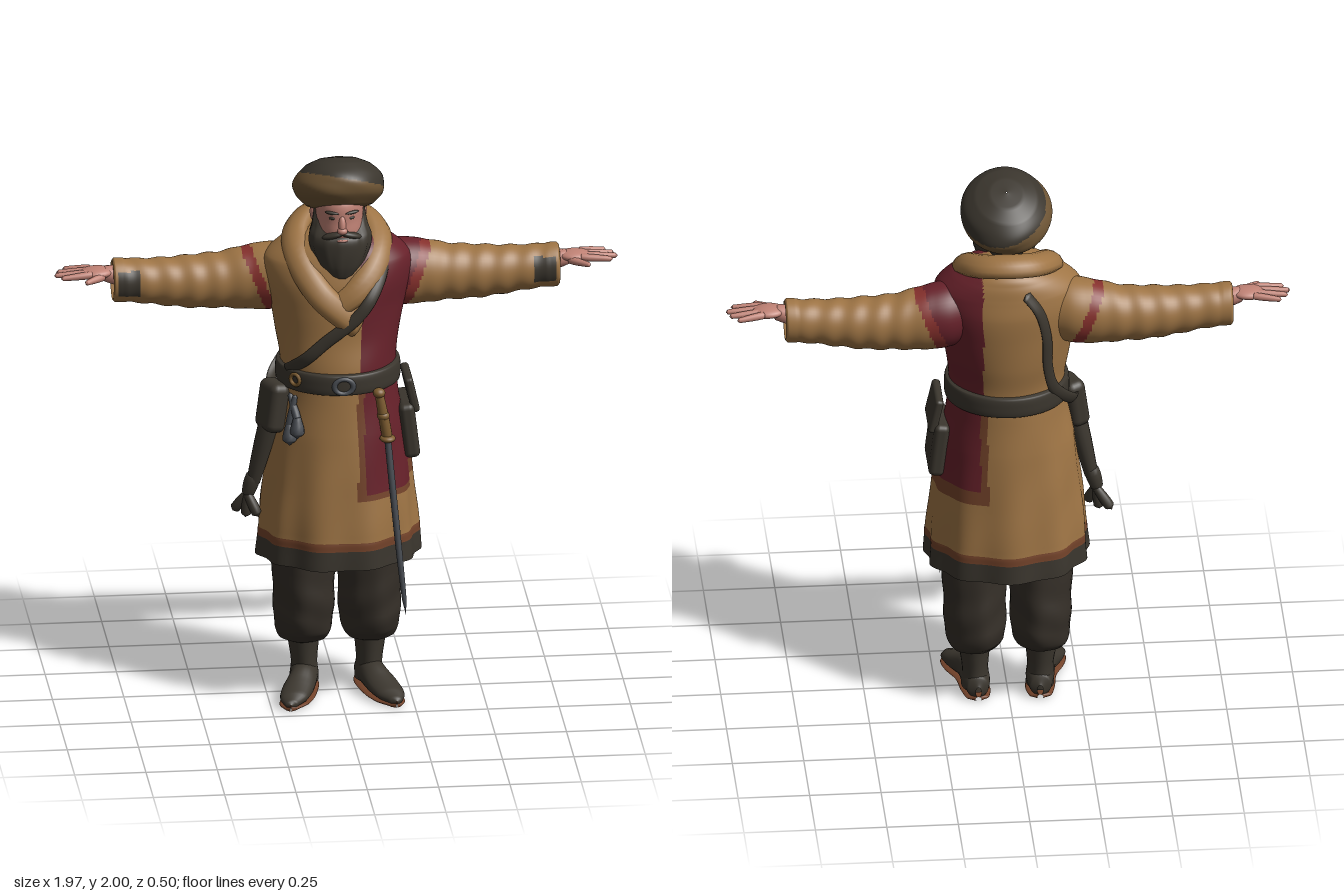
import * as THREE from 'three';
import { RoundedBoxGeometry } from 'three/addons/geometries/RoundedBoxGeometry.js';

const mat = (name, color) => new THREE.MeshStandardMaterial({ name, color });
const tan = mat('tan wool', 0x9f7545), maroon = mat('maroon wool', 0x67212a), red = mat('red trim', 0x86302c);
const rust = mat('rust border', 0x74432a), dark = mat('charcoal cloth', 0x3b362e), pants = mat('dark trousers', 0x352f28);
const hatBrown = mat('hat brown', 0x6d5434), skin = mat('skin', 0xc08275), steel = mat('steel', 0x484c52), brass = mat('brass', 0x7d5c30);
const V = (x, y, z) => new THREE.Vector3(x, y, z);

// Closed-ring surface from at(u, angle); paint(centre) picks the material group
function surface(nu, nv, at, paint = () => 0) {
  const pos = [], groups = [], pts = [];
  for (let i = 0; i <= nu; i++) for (let j = 0; j < nv; j++) {
    const p = at(i / nu, j / nv * Math.PI * 2);
    pts.push(p); pos.push(p.x, p.y, p.z);
  }
  for (let i = 0; i < nu; i++) for (let j = 0; j < nv; j++) {
    const k = (j + 1) % nv, a = i * nv + j, b = a + nv, c = i * nv + k, d = c + nv;
    const mid = V(0, 0, 0).add(pts[a]).add(pts[b]).add(pts[c]).add(pts[d]).multiplyScalar(0.25);
    (groups[paint(mid)] ??= []).push(a, b, c, b, d, c);
  }
  const g = new THREE.BufferGeometry(), index = [];
  groups.forEach((list, m) => { g.addGroup(index.length, list.length, m); for (const v of list) index.push(v); });
  g.setAttribute('position', new THREE.Float32BufferAttribute(pos, 3));
  g.setIndex(index);
  g.computeVertexNormals();
  return g;
}

// Section rows are [y, rx, rz, cx, cz]; y runs linearly, the rest smoothly
function section(rows, t) {
  const s = Math.min(t * (rows.length - 1), rows.length - 1 - 1e-6), i = Math.floor(s), f = s - i;
  const r = k => rows[Math.max(0, Math.min(rows.length - 1, k))];
  return [0, 1, 2, 3, 4].map(k => {
    const p = r(i)[k] ?? 0, q = r(i + 1)[k] ?? 0;
    if (k === 0) return p + (q - p) * f;
    const m = (q - (r(i - 1)[k] ?? 0)) / 2, n = ((r(i + 2)[k] ?? 0) - p) / 2;
    return p + m * f + (3 * (q - p) - 2 * m - n) * f * f + (2 * (p - q) + m + n) * f * f * f;
  });
}
function loft(rows, { n = 32, steps = 6, ripple = () => 0, paint } = {}) {
  return surface((rows.length - 1) * steps, n, (t, a) => {
    const [y, rx, rz, cx, cz] = section(rows, t), k = 1 + ripple(a, y);
    return V(cx + rx * k * Math.cos(a), y, cz + rz * k * Math.sin(a));
  }, paint);
}
// Flattened strip swept along points, facing away from the chest centre
function strip(points, w, t) {
  const curve = new THREE.CatmullRomCurve3(points);
  return surface(64, 12, (u, a) => {
    const p = curve.getPoint(u), T = curve.getTangent(u), N = p.clone().sub(V(0, 1.35, -0.02));
    N.addScaledVector(T, -N.dot(T)).normalize();
    const B = T.clone().cross(N), e = u < 0.001 || u > 0.999 ? 0.02 : 1;
    return p.addScaledVector(N, t * e * Math.cos(a)).addScaledVector(B, -w * e * Math.sin(a));
  });
}

export function createModel() {
  const model = new THREE.Group();
  model.name = 'robedMan';
  const add = (name, geo, m, pos = [0, 0, 0], rot = [0, 0, 0], scale = [1, 1, 1]) => {
    const o = new THREE.Mesh(geo, m);
    o.name = name;
    o.position.set(...pos); o.rotation.set(...rot); o.scale.set(...scale);
    model.add(o);
    return o;
  };
  const mirror = (o, m = o.material) => {
    o.updateMatrix();
    const g = o.geometry.clone().applyMatrix4(o.matrix).scale(-1, 1, 1), ix = g.index;
    for (let i = 0; i < ix.count; i += 3) { const t = ix.getX(i); ix.setX(i, ix.getX(i + 1)); ix.setX(i + 1, t); }
    return add(o.name.replace('left', 'right'), g, m);
  };
  const ball = (name, m, pos, scale, rot) => add(name, new THREE.SphereGeometry(1, 24, 16), m, pos, rot, scale);
  const rod = (name, m, a, b, ra, rb = ra) => {
    const d = b.clone().sub(a), L = d.length();
    const o = add(name, loft([[-ra * 0.8, 0.001, 0.001], [0, ra, ra], [L, rb, rb], [L + rb * 0.8, 0.001, 0.001]], { n: 14, steps: 4 }), m, a.toArray());
    o.quaternion.setFromUnitVectors(V(0, 1, 0), d.normalize());
    return o;
  };

  // Coat: one body surface, coloured by panels
  const coatRows = [[0.53, 0.285, 0.248], [0.6, 0.28, 0.246], [0.63, 0.278, 0.244], [0.8, 0.262, 0.23], [1.0, 0.236, 0.212],
    [1.15, 0.207, 0.197], [1.25, 0.203, 0.192], [1.35, 0.217, 0.19, 0, -0.015], [1.45, 0.235, 0.19, 0, -0.022], [1.55, 0.26, 0.187, 0, -0.027],
    [1.62, 0.255, 0.172, 0, -0.03], [1.67, 0.2, 0.155, 0, -0.035], [1.71, 0.12, 0.12, 0, -0.04], [1.74, 0.01, 0.01, 0, -0.03]];
  const paintCoat = ({ x, y, z }) => {
    if (y < 0.6) return 3;
    if (y < 0.63) return 2;
    const edge = z > 0 ? 0.065 : 0.095;
    if (y > 1.2) return x > edge ? 1 : 0;
    const bottom = z > 0.08 ? 0.81 : 0.87, inX = x - edge, inY = y - bottom;
    if (inX > 0.01 && inY > 0) return 1;
    return inX > -0.015 && inY > -0.04 ? 2 : 0;
  };
  const folds = (a, y) => 0.028 * Math.max(0, (1.1 - y) / 0.57) * Math.sin(a * 11 + Math.sin(a * 2)) + 0.006 * Math.sin(a * 5 + y * 22);
  add('coat', loft(coatRows, { n: 144, steps: 8, ripple: folds, paint: paintCoat }), [tan, maroon, rust, dark]);
  add('coatUnderside', new THREE.CircleGeometry(1, 40), tan, [0, 0.56, 0], [Math.PI / 2, 0, 0], [0.275, 0.238, 1]);
  // Point on the coat surface, front (s = 1) or back (s = -1)
  const onCoat = (x, y, off = 0.012, s = 1) => {
    let i = 0;
    while (coatRows[i + 1][0] < y) i++;
    const t = (i + (y - coatRows[i][0]) / (coatRows[i + 1][0] - coatRows[i][0])) / (coatRows.length - 1);
    const [, rx, rz, , cz] = section(coatRows, t);
    return V(x, y, cz + s * (rz * Math.sqrt(Math.max(0, 1 - (x / rx) ** 2)) + off));
  };

  // Sleeves with a dark patch on the front of each cuff
  const sleeveRows = [[0.14, 0.11, 0.1, -1.53, -0.06], [0.22, 0.12, 0.11, -1.525, -0.075], [0.3, 0.115, 0.1, -1.518, -0.085], [0.4, 0.1, 0.092, -1.51, -0.09],
    [0.5, 0.094, 0.088, -1.508, -0.088], [0.6, 0.085, 0.08, -1.512, -0.085], [0.7, 0.078, 0.073, -1.52, -0.082],
    [0.775, 0.079, 0.07, -1.525, -0.08], [0.783, 0.07, 0.062, -1.525, -0.08], [0.75, 0.055, 0.05, -1.525, -0.08], [0.74, 0.001, 0.001, -1.525, -0.08]];
  const paintSleeve = p => {
    if (p.y > 0.69 && p.y < 0.768 && p.z > -0.05 && p.x > -1.572 && p.x < -1.482) return 3;
    const d = p.y - (-p.x - 1.43) * 0.4;
    return d < 0.215 ? 1 : d < 0.255 ? 2 : 0;
  };
  const wrinkles = (a, u) => u > 0.74 ? 0 : 0.03 * Math.sin(u * 75 + 2 * Math.sin(a)) * Math.min(1, Math.max(0, (u - 0.25) * 6));
  const sleeve = add('leftSleeve', loft(sleeveRows, { n: 48, steps: 10, ripple: wrinkles, paint: paintSleeve }).rotateZ(-Math.PI / 2), [tan, maroon, red, dark]);
  mirror(sleeve, [tan, tan, red, dark]);

  // Hands
  const hand = [
    rod('leftWrist', skin, V(0.73, 1.535, -0.075), V(0.81, 1.555, -0.072), 0.032, 0.028),
    ball('leftPalm', skin, [0.84, 1.56, -0.07], [0.06, 0.02, 0.046], [0, 0, -0.03]),
    rod('leftThumb', skin, V(0.82, 1.552, -0.04), V(0.88, 1.55, 0.008), 0.014, 0.009),
  ];
  [[-0.105, -0.125, 0.945], [-0.082, -0.092, 0.97], [-0.058, -0.06, 0.98], [-0.037, -0.028, 0.96]].forEach(([z0, z1, x]) =>
    hand.push(rod('leftFinger', skin, V(0.86, 1.562, z0), V(x, 1.556, z1), 0.013, 0.009)));
  hand.forEach(o => mirror(o));

  // Baggy trousers and boots
  mirror(add('leftTrouser', loft([[0.18, 0.05, 0.06, 0.118, -0.045], [0.195, 0.085, 0.09, 0.117, -0.045], [0.23, 0.102, 0.128, 0.116, -0.05], [0.3, 0.106, 0.15, 0.115, -0.047],
    [0.42, 0.11, 0.145, 0.116, -0.04], [0.55, 0.115, 0.14, 0.118, -0.035], [0.62, 0.11, 0.14, 0.115, -0.03]],
  { n: 40, ripple: (a, y) => 0.03 * Math.sin(y * 45 + a * 2) * Math.max(0, 1 - Math.abs(y - 0.3) * 5) + 0.02 * Math.sin(a * 6) }), pants));
  mirror(add('leftBootShaft', loft([[0.03, 0.05, 0.07, 0.113, -0.045], [0.1, 0.046, 0.068, 0.114, -0.042], [0.16, 0.052, 0.072, 0.116, -0.043], [0.23, 0.06, 0.08, 0.117, -0.045]], { n: 24 }), dark));
  const footRows = [[-0.124, 0.01, 0.02, 0.108, -0.035], [-0.11, 0.038, 0.04, 0.11, -0.048], [-0.05, 0.05, 0.048, 0.113, -0.056], [0.03, 0.05, 0.05, 0.125, -0.057],
    [0.1, 0.056, 0.035, 0.15, -0.043], [0.16, 0.048, 0.024, 0.17, -0.032], [0.2, 0.022, 0.014, 0.183, -0.024], [0.21, 0.002, 0.003, 0.186, -0.022]];
  mirror(add('leftBootFoot', loft(footRows, { n: 24 }).rotateX(Math.PI / 2), dark));
  mirror(add('leftBootSole', loft(footRows.map(([z, rx, , cx]) => [z, rx * 1.04, 0.009, cx, -0.009]), { n: 24 }).rotateX(Math.PI / 2), rust));

  // Crossed shawl collar
  add('collar', strip([V(0.06, 1.41, 0.15), V(0.01, 1.45, 0.168), V(-0.075, 1.53, 0.16), V(-0.145, 1.64, 0.07), V(-0.145, 1.7, -0.04), V(-0.085, 1.735, -0.13), V(0, 1.745, -0.155),
    V(0.085, 1.735, -0.13), V(0.14, 1.7, -0.04), V(0.13, 1.64, 0.075), V(0.06, 1.55, 0.152), V(-0.06, 1.46, 0.145)], 0.05, 0.032), tan);

  // Head, beard and hat
  add('head', loft([[1.62, 0.06, 0.06, 0, -0.01], [1.68, 0.065, 0.075, 0, 0.03], [1.73, 0.074, 0.09, 0, 0.062], [1.79, 0.082, 0.1, 0, 0.052], [1.86, 0.085, 0.1, 0, 0.045], [1.92, 0.06, 0.07, 0, 0.02]], { n: 32 }), skin);
  add('beard', loft([[1.57, 0.004, 0.004, 0, 0.125], [1.585, 0.04, 0.03, 0, 0.122], [1.63, 0.078, 0.06, 0, 0.105], [1.69, 0.105, 0.083, 0, 0.085], [1.73, 0.108, 0.088, 0, 0.073],
    [1.76, 0.098, 0.066, 0, 0.06], [1.8, 0.09, 0.05, 0, 0.04], [1.86, 0.088, 0.045, 0, 0.03]], { n: 40, ripple: (a, y) => 0.025 * Math.sin(a * 13 + y * 18) }), dark);
  ball('backHair', dark, [0, 1.79, -0.015], [0.082, 0.085, 0.07]);
  ball('mouth', skin, [0, 1.728, 0.15], [0.024, 0.006, 0.017]);
  ball('nose', skin, [0, 1.785, 0.152], [0.013, 0.036, 0.014], [-0.22, 0, 0]);
  ball('noseTip', skin, [0, 1.765, 0.158], [0.018, 0.013, 0.016]);
  mirror(ball('leftMoustache', dark, [0.031, 1.745, 0.144], [0.042, 0.012, 0.02], [0, 0.35, -0.3]));
  mirror(ball('leftBrow', dark, [0.035, 1.828, 0.142], [0.026, 0.006, 0.008], [0, 0.3, 0.08]));
  mirror(ball('leftEye', dark, [0.033, 1.808, 0.14], [0.013, 0.006, 0.006], [0, 0.3, 0]));
  mirror(ball('leftEar', skin, [0.088, 1.79, 0.015], [0.012, 0.032, 0.02]));
  add('hat', loft([[-0.092, 0.005, 0.005], [-0.088, 0.075, 0.085], [-0.075, 0.115, 0.13], [-0.04, 0.15, 0.17], [0, 0.16, 0.18], [0.035, 0.147, 0.165], [0.07, 0.11, 0.125], [0.09, 0.06, 0.07], [0.096, 0.002, 0.002]],
    { n: 64, steps: 8, ripple: (a, y) => 0.018 * Math.sin(y * 60 + Math.cos(a) * 5) * Math.max(0, 1 - Math.abs(y) * 11), paint: p => p.y < 0.015 - 0.2 * p.x ? 0 : 1 }),
  [hatBrown, dark], [0.003, 1.885, 0.002], [-0.38, 0, 0]);

  // Belt, buckles and shoulder strap
  add('belt', loft([[1.165, 0.195, 0.185], [1.17, 0.216, 0.206], [1.205, 0.219, 0.209], [1.24, 0.215, 0.205], [1.247, 0.195, 0.185]], { n: 64 }), dark);
  add('buckle', new THREE.TorusGeometry(0.03, 0.009, 8, 20), steel, [0, 1.205, 0.21], [0, 0, 0], [1.1, 0.9, 1]);
  add('beltStud', new THREE.TorusGeometry(0.02, 0.007, 8, 16), brass, [-0.165, 1.215, 0.148], [0, -0.8, 0]);
  add('frontStrap', strip([V(0.145, 1.7, 0.0), V(0.15, 1.62, 0.1), onCoat(0.1, 1.52, 0.035), onCoat(0.045, 1.45, 0.03), onCoat(-0.06, 1.36), onCoat(-0.13, 1.29), onCoat(-0.19, 1.23, 0.02)], 0.022, 0.009), dark);
  add('backStrap', strip([onCoat(-0.05, 1.655, 0.01, -1), onCoat(-0.1, 1.58, 0.008, -1), onCoat(-0.125, 1.48, 0.01, -1), onCoat(-0.13, 1.36, 0.01, -1), onCoat(-0.155, 1.25, 0.02, -1), V(-0.225, 1.16, -0.06), V(-0.24, 1.12, 0.04)], 0.022, 0.009), dark);

  // Pouch on the left hip
  add('hipPouch', new RoundedBoxGeometry(0.055, 0.2, 0.2, 3, 0.02), dark, [0.243, 0.985, 0.0], [0, 0, 0.12]);
  add('pouchFlap', new RoundedBoxGeometry(0.03, 0.13, 0.175, 3, 0.012), dark, [0.253, 1.115, 0.0], [0, 0, 0.22]);

  // Sword hanging at the front left
  const hilt = onCoat(0.125, 1.17, 0.035), guard = onCoat(0.155, 1.0, 0.03), tip = V(0.217, 0.36, 0.195);
  rod('swordGrip', brass, hilt, guard, 0.015, 0.018);
  ball('swordPommel', brass, hilt.toArray(), [0.022, 0.018, 0.022]);
  ball('swordGuard', brass, guard.toArray(), [0.028, 0.014, 0.03]);
  ball('swordCollar', brass, hilt.clone().lerp(guard, 0.5).toArray(), [0.022, 0.018, 0.022]);
  const blade = add('swordBlade', loft([[0, 0.012, 0.022, 0, 0], [0.2, 0.012, 0.025, 0, 0.006], [0.45, 0.011, 0.024, 0, 0.008], [0.6, 0.008, 0.014, 0, 0.003], [0.66, 0.001, 0.001]], { n: 12 }), steel, guard.toArray());
  blade.quaternion.setFromUnitVectors(V(0, 1, 0), tip.clone().sub(guard).normalize());

  // Bag, long drawstring pouch and tassels on the right hip
  add('rightBag', new RoundedBoxGeometry(0.075, 0.18, 0.12, 3, 0.028), dark, [-0.235, 1.09, 0.06], [0, 0.4, -0.15]);
  rod('longPouch', dark, V(-0.24, 1.06, 0.06), V(-0.3, 0.8, 0.035), 0.034, 0.024);
  rod('pouchNeck', dark, V(-0.3, 0.82, 0.035), V(-0.318, 0.755, 0.03), 0.026, 0.022);
  [-1, 0, 1].forEach(k => rod('pouchFringe', dark, V(-0.318, 0.75, 0.03 + k * 0.01), V(-0.325 + k * 0.035, 0.69 - (k ? 0 : 0.01), 0.03 + k * 0.03), 0.015, 0.018));
  [[-0.165, 1.15, -0.185, 1.05], [-0.18, 1.15, -0.16, 1.08]].forEach(([x, y, x1, y1]) => {
    rod('tasselCord', steel, onCoat(x, y, 0.025), onCoat(x1, y1, 0.03), 0.009, 0.014);
    rod('tasselSkirt', steel, onCoat(x1, y1, 0.03), onCoat(x1, y1 - 0.055, 0.025), 0.014, 0.025);
  });
  return model;
}
